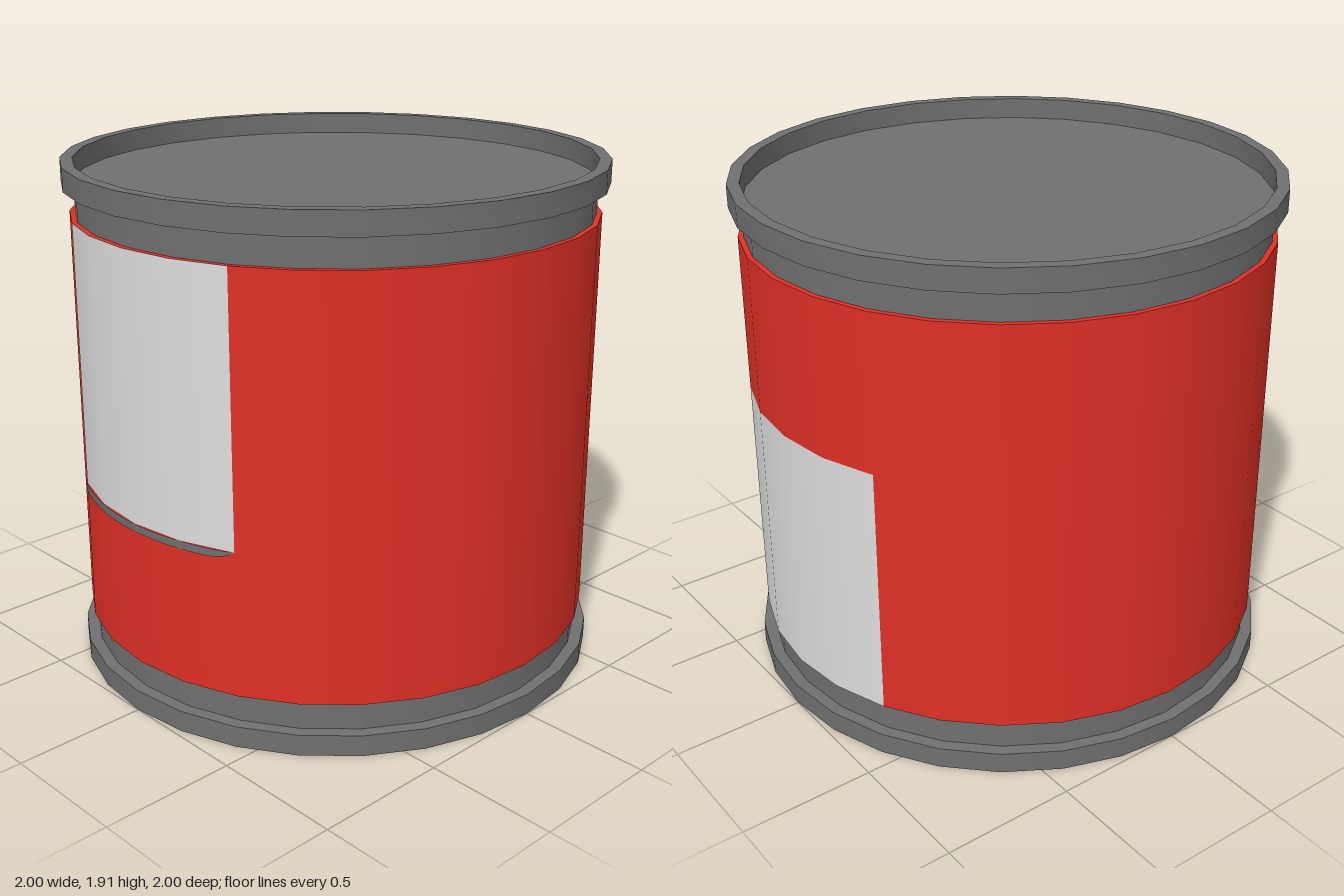
import * as THREE from 'three';
import { toCreasedNormals } from 'three/addons/utils/BufferGeometryUtils.js';

const SIDES = 28, STEP = (Math.PI * 2) / SIDES;
const H = 1.915, RIM_R = 1, NECK_R = 0.955, LABEL_R = 0.975;
const LABEL_Y0 = 0.187, LABEL_Y1 = 1.72;

function material(name, color) {
  const m = new THREE.MeshStandardMaterial({ color });
  m.name = name;
  return m;
}

export function createModel() {
  const grey = material('dark grey metal', 0x707070);
  const red = material('red label', 0xdf3026);
  const white = material('pale panel', 0xdedede);
  const can = new THREE.Group();
  can.name = 'can';

  const add = (name, geometry, mat) => {
    const mesh = new THREE.Mesh(geometry, mat);
    mesh.name = name;
    can.add(mesh);
    return mesh;
  };
  // closed drum between two heights
  const drum = (name, r, y0, y1, mat) =>
    add(name, new THREE.CylinderGeometry(r, r, y1 - y0, SIDES).translate(0, (y0 + y1) / 2, 0), mat);
  // curved piece of label wall, from one side number to another (side 0 starts at the front)
  const wall = (name, from, to, y0, y1, mat, r = LABEL_R, split = 1) =>
    add(name, new THREE.CylinderGeometry(r, r, y1 - y0, (to - from) * split, 1, true,
      from * STEP, (to - from) * STEP).translate(0, (y0 + y1) / 2, 0), mat);
  // ring turned from a profile of [radius, height] points
  const turned = (name, points, mat) =>
    add(name, toCreasedNormals(new THREE.LatheGeometry(
      points.map(([r, y]) => new THREE.Vector2(r, y)), SIDES), 0.6), mat);

  // metal body, with a flat base rim and a raised rim around the recessed lid
  drum('bottomRim', RIM_R, 0, 0.08, grey);
  drum('body', NECK_R, 0.08, 1.835, grey);
  turned('topRim', [[NECK_R, 1.83], [RIM_R, 1.83], [RIM_R, H], [NECK_R, H], [NECK_R, 1.83]], grey);

  // label: red on both flanks, pale panels at front and back
  wall('labelLeft', 2, 12, LABEL_Y0, LABEL_Y1, red);
  wall('labelRight', 16, 26, LABEL_Y0, LABEL_Y1, red);
  wall('frontPanel', -2, 2, 0.735, LABEL_Y1, white);
  wall('labelBelowFrontPanel', -2, 2, LABEL_Y0, 0.735, red);
  wall('backPanel', 12, 16, LABEL_Y0, 1.135, white);
  wall('labelAboveBackPanel', 12, 16, 1.135, LABEL_Y1, red);
  turned('labelTopEdge', [[LABEL_R, LABEL_Y1], [NECK_R - 0.01, LABEL_Y1]], red);
  turned('labelBottomEdge', [[NECK_R - 0.01, LABEL_Y0], [LABEL_R, LABEL_Y0]], red);

  // grey strip under the front panel, with one rounded lower corner
  const strip = wall('panelStrip', -2, 2, 0.705, 0.735, grey, LABEL_R + 0.002, 6);
  const p = strip.geometry.attributes.position;
  for (let i = 0; i < p.count; i++) {
    const t = Math.max(0, (p.getX(i) - 0.33) / 0.094);
    if (p.getY(i) < 0.72) p.setY(i, 0.705 + 0.027 * Math.min(1, t * t));
  }
  return can;
}
